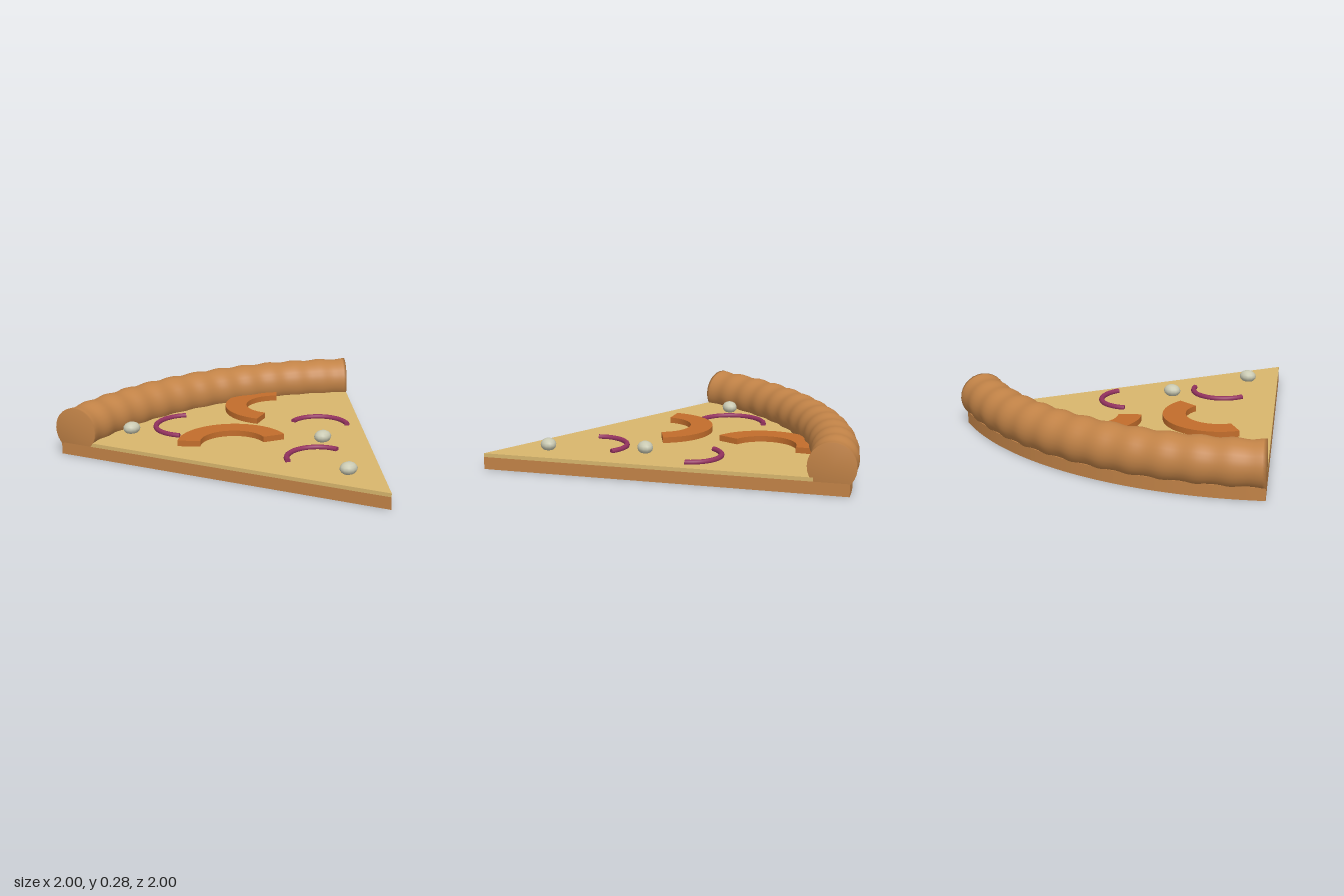
import * as THREE from 'three';

const TIP_Z = 1; // the slice is a 60 degree wedge whose tip lies at z = 1
const HALF = Math.PI / 6;
const rad = THREE.MathUtils.degToRad;

const material = (name, color) => {
  const m = new THREE.MeshStandardMaterial({ color });
  m.name = name;
  return m;
};

// Extrudes a plan-view shape (shape y becomes -z) upward from y
function slab(shape, y, height) {
  const g = new THREE.ExtrudeGeometry(shape, { depth: height, bevelEnabled: false, curveSegments: 32 });
  g.rotateX(-Math.PI / 2);
  g.translate(0, y, 0);
  return g;
}

function wedge(radius) {
  const s = new THREE.Shape();
  s.moveTo(0, -TIP_Z);
  s.lineTo(radius * Math.sin(HALF), radius * Math.cos(HALF) - TIP_Z);
  s.absarc(0, -TIP_Z, radius, Math.PI / 2 - HALF, Math.PI / 2 + HALF, false);
  s.lineTo(0, -TIP_Z);
  return s;
}

function arcBand(inner, outer, from, to) {
  const s = new THREE.Shape();
  s.absarc(0, 0, outer, rad(from), rad(to), false);
  s.absarc(0, 0, inner, rad(to), rad(from), true);
  s.closePath();
  return s;
}

// Gently lumpy roll swept along the outer arc; the cut ends share the rim's smooth normals
function crustGeometry() {
  const along = 120, around = 28, R = 1.872, cy = 0.148;
  const pos = [], idx = [];
  const put = (t, offset, y) => {
    const a = Math.PI / 2 - HALF + t * 2 * HALF;
    pos.push((R + offset) * Math.cos(a), y, TIP_Z - (R + offset) * Math.sin(a));
  };
  for (let i = 0; i <= along; i++) {
    const t = i / along;
    const r = 0.123 + 0.004 * Math.cos(t * Math.PI * 24);
    for (let j = 0; j < around; j++) {
      const b = (j / around) * Math.PI * 2;
      put(t, r * Math.cos(b), cy + r * Math.sin(b));
    }
  }
  const startCentre = pos.length / 3, endCentre = startCentre + 1;
  put(0, 0, cy);
  put(1, 0, cy);
  const last = along * around;
  for (let j = 0; j < around; j++) {
    const k = (j + 1) % around;
    for (let p = 0; p < last; p += around) {
      idx.push(p + j, p + around + j, p + k, p + k, p + around + j, p + around + k);
    }
    idx.push(startCentre, j, k, endCentre, last + k, last + j);
  }
  const g = new THREE.BufferGeometry();
  g.setAttribute('position', new THREE.Float32BufferAttribute(pos, 3));
  g.setIndex(idx);
  g.computeVertexNormals();
  return g;
}

// Curved onion sliver with closed ends
function onionSliver(radius, from, to, mat) {
  const group = new THREE.Group();
  const tube = 0.015;
  const strip = new THREE.Mesh(new THREE.TorusGeometry(radius, tube, 10, 28, rad(to - from)), mat);
  strip.name = 'onionStrip';
  group.add(strip);
  for (const end of [0, 1]) {
    const a = end * rad(to - from);
    const cap = new THREE.Mesh(new THREE.CircleGeometry(tube, 10), mat);
    cap.name = 'onionEnd';
    cap.position.set(radius * Math.cos(a), radius * Math.sin(a), 0);
    cap.rotation.set(end ? -Math.PI / 2 : Math.PI / 2, 0, a, 'ZXY');
    group.add(cap);
  }
  group.rotation.set(-Math.PI / 2, 0, rad(from));
  return group;
}

export function createModel() {
  const model = new THREE.Group();
  model.name = 'pizzaSlice';
  const dough = material('baked dough', 0xc28347);
  const cheese = material('cheese', 0xd8b66d);
  const pepper = material('orange pepper', 0xc26d2b);
  const onion = material('red onion', 0x93325f);
  const garlic = material('pale topping', 0xc9c9b2);

  const add = (name, geometry, mat, x = 0, y = 0, z = 0) => {
    const mesh = new THREE.Mesh(geometry, mat);
    mesh.name = name;
    mesh.position.set(x, y, z);
    model.add(mesh);
    return mesh;
  };

  add('base', slab(wedge(1.965), 0, 0.067), dough);
  add('cheeseLayer', slab(wedge(1.78), 0.067, 0.021), cheese);
  add('crust', crustGeometry(), dough);

  // Pepper arcs: x, z, start and end angle
  for (const [x, z, from, to] of [[-0.265, -0.045, -11, 145], [0.317, -0.475, 56, 214]]) {
    add('pepperSlice', slab(arcBand(0.18, 0.305, from, to), 0.08, 0.04), pepper, x, 0, z);
  }

  // Onion slivers: x, z, radius, start and end angle
  for (const [x, z, r, from, to] of [
    [-0.286, -0.483, 0.19, 65, 223],
    [0.327, -0.061, 0.167, -26, 115],
    [0, 0.384, 0.17, 17, 163],
  ]) {
    const sliver = onionSliver(r, from, to, onion);
    sliver.name = 'onionSliver';
    sliver.position.set(x, 0.095, z);
    model.add(sliver);
  }

  // Small pale nuggets
  for (const [x, z] of [[-0.607, -0.577], [0.197, 0.155], [0, 0.648]]) {
    add('nugget', new THREE.SphereGeometry(1, 12, 8), garlic, x, 0.115, z).scale.set(0.05, 0.035, 0.043);
  }
  return model;
}
